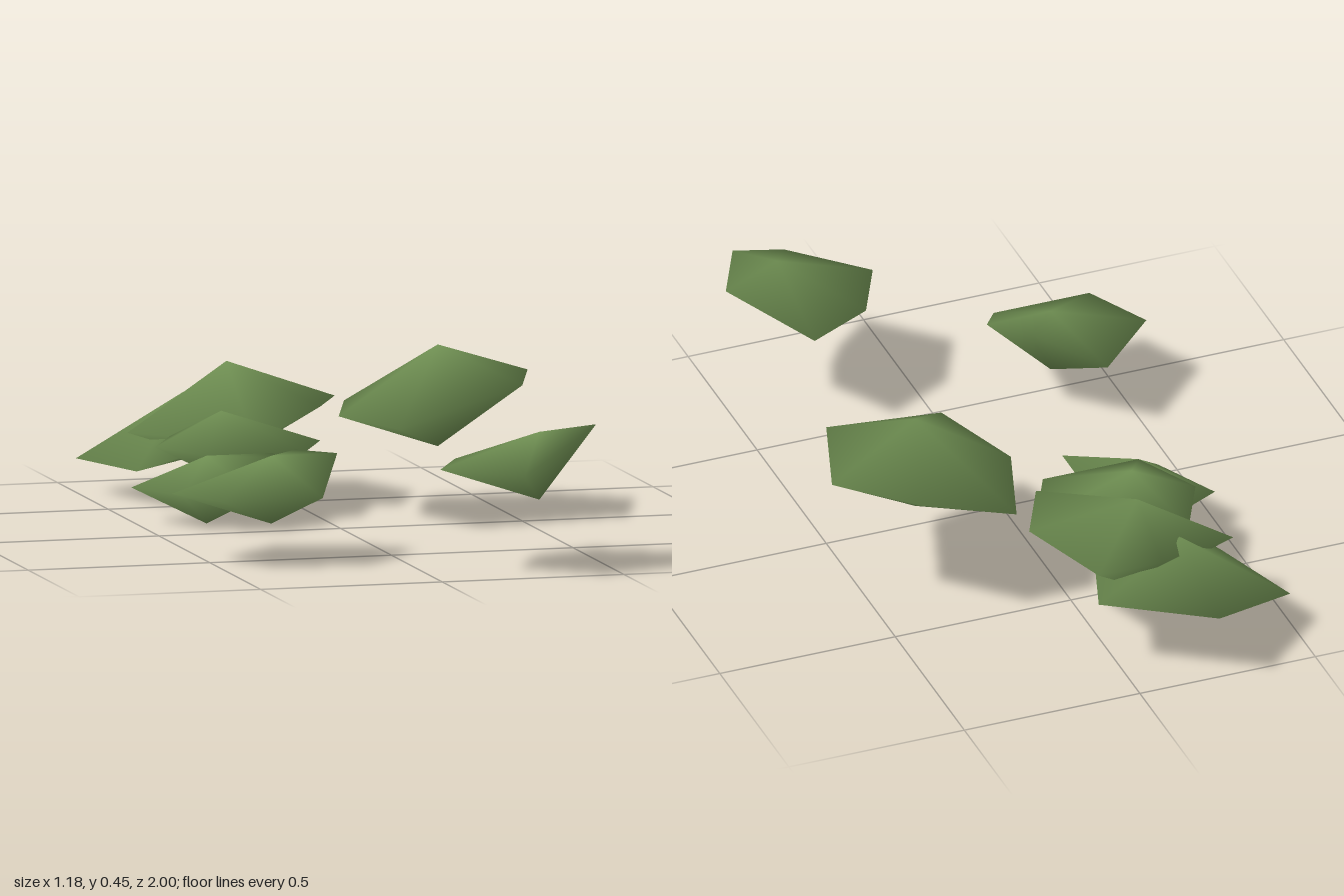
import * as THREE from 'three';

const STEP = 1 / 11; // layout grid that every clump corner sits on

// Completes a symmetric rim from one half whose two ends lie on the mirror axis
function mirrored(half, flip) {
  return [...half, ...half.slice(1, -1).reverse().map(flip)];
}

// Closed smooth clump: a rim around a top and a bottom point.
// Rim corners are [x, z] offsets, clockwise from above; corners whose slant
// passes `raisedFrom` sit one step higher, so the rim tilts up to one side.
function clumpGeometry(x, bottom, z, rim, raisedFrom, { rise = 2, lift = 1 } = {}) {
  const points = [new THREE.Vector3(x, bottom + rise, z), new THREE.Vector3(x, bottom, z)];
  const index = [];
  rim.forEach(([dx, dz], i) => {
    const raised = dx - dz / 6 > raisedFrom ? 1 : 0;
    points.push(new THREE.Vector3(x + dx, bottom + lift + raised, z + dz));
    const a = 2 + i, b = 2 + (i + 1) % rim.length;
    index.push(0, b, a, 1, a, b);
  });
  const geometry = new THREE.BufferGeometry().setFromPoints(points);
  geometry.setIndex(index);
  geometry.scale(STEP, STEP, STEP);
  geometry.computeVertexNormals();
  return geometry;
}

export function createModel() {
  const group = new THREE.Group();
  group.name = 'leafClumps';
  const leaf = new THREE.MeshStandardMaterial({ color: 0x6f8f52 });
  leaf.name = 'leaf green';

  const add = (name, ...shape) => {
    const mesh = new THREE.Mesh(clumpGeometry(...shape), leaf);
    mesh.name = name;
    group.add(mesh);
  };

  // Free-standing clumps
  add('largeLeftClump', 3.5, 2, -2,
    [[1, -3], [3, -1], [2, 2], [-2, 3], [-3, 0], [-2, -3]], 0.6, { rise: 3 });
  add('frontLeftClump', 3.5, 2, 9,
    mirrored([[1, 1], [-1, 2], [-3, 0], [-2, -2]], ([x, z]) => [z, x]), 0.6);
  add('frontRightClump', -3.5, 1, 5,
    [[1, -1], [2, 0], [1, 2], [-2, 2], [-3, 0], [-1, -2]], 1);

  // Overlapping clumps at the back
  add('backUpperClump', -1.5, 1, -7,
    [[0, -2], [2, -2], [3, 1], [2, 3], [0, 3], [-3, 0]], 0, { rise: 3 });
  add('backLowerClump', -2.5, 1, -8,
    mirrored([[0, -3], [3, -1], [2, 2], [0, 4]], ([x, z]) => [-x, z]), -1, { lift: 0 });
  add('middleClump', -2.5, 1, -4,
    mirrored([[-2, 0], [-1, -2], [2, -2], [3, 0]], ([x, z]) => [x, -z]), 4);
  add('lowClump', -3.5, 0, -2,
    [[2, -1], [2, 1], [1, 2], [-1, 1], [-2, -1], [0, -2]], 1);

  return group;
}
